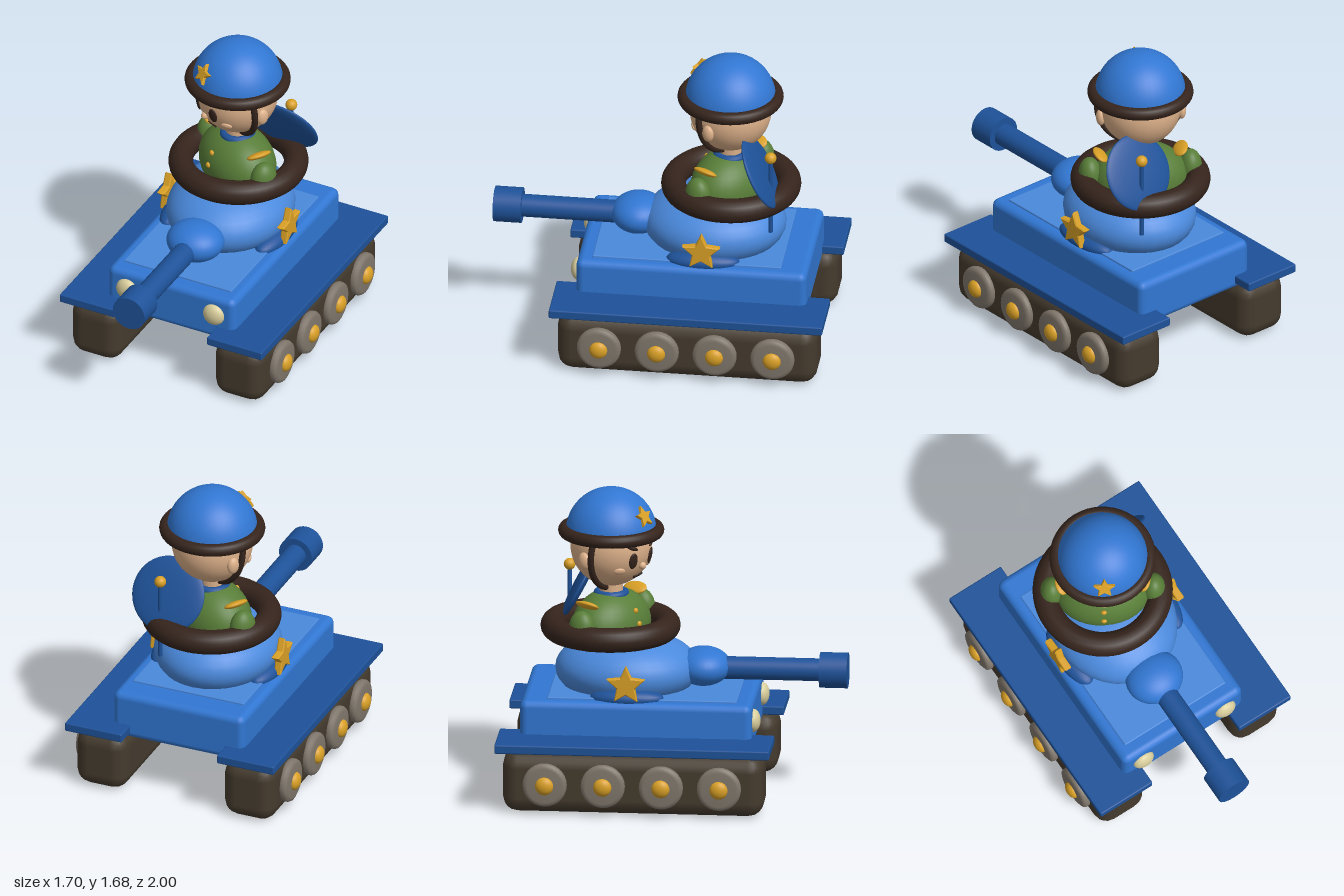
import * as THREE from 'three';
import { RoundedBoxGeometry } from 'three/addons/geometries/RoundedBoxGeometry.js';

const mat = (name, color) => {
  const m = new THREE.MeshStandardMaterial({ color });
  m.name = name;
  return m;
};

export function createModel() {
  const blue = mat('blue', 0x3177d3);
  const darkBlue = mat('dark blue', 0x1e5299);
  const lightBlue = mat('light blue', 0x4a89dc);
  const brown = mat('dark brown', 0x35241c);
  const trackBrown = mat('track brown', 0x453b2e);
  const grey = mat('wheel grey', 0x80776c);
  const gold = mat('gold', 0xd9a026);
  const green = mat('green', 0x587d38);
  const skin = mat('skin', 0xdcb089);
  const cream = mat('cream', 0xd8cd9c);

  const add = (parent, name, geometry, material, x = 0, y = 0, z = 0) => {
    const mesh = new THREE.Mesh(geometry, material);
    mesh.name = name;
    mesh.position.set(x, y, z);
    parent.add(mesh);
    return mesh;
  };
  const ellipsoid = (rx, ry, rz) => new THREE.SphereGeometry(1, 32, 20).scale(rx, ry, rz);
  const box = (w, h, d, r) => new RoundedBoxGeometry(w, h, d, 2, r);
  const starGeometry = (r, depth) => {
    const shape = new THREE.Shape();
    for (let i = 0; i < 10; i++) {
      const a = Math.PI / 2 + i * Math.PI / 5, q = i % 2 ? r * 0.45 : r;
      shape[i ? 'lineTo' : 'moveTo'](q * Math.cos(a), q * Math.sin(a));
    }
    const g = new THREE.ExtrudeGeometry(shape, {
      depth, bevelEnabled: true, bevelSize: r * 0.06, bevelThickness: r * 0.06, bevelSegments: 1,
    });
    return g.translate(0, 0, -depth / 2);
  };

  const model = new THREE.Group();
  model.name = 'toy tank with soldier';

  // Tank, turned on the spot
  const tank = new THREE.Group();
  tank.name = 'tank';
  tank.position.z = -0.077;
  tank.rotation.y = 0.384;
  model.add(tank);

  add(tank, 'hull', box(0.775, 0.27, 1.26, 0.04), blue, 0, 0.45, 0);
  add(tank, 'deckPanel', box(0.655, 0.03, 1.03, 0.006), lightBlue, 0, 0.58, 0.03);

  const wheelProfile = [[0, -0.03], [0.1, -0.03], [0.114, -0.022], [0.12, -0.008], [0.12, 0.008],
    [0.114, 0.02], [0.095, 0.028], [0, 0.03]].map(([x, y]) => new THREE.Vector2(x, y));
  const wheelGeometry = new THREE.LatheGeometry(wheelProfile, 28);

  for (const s of [1, -1]) {
    const side = s > 0 ? 'left' : 'right';
    add(tank, side + 'Fender', box(0.336, 0.05, 1.494, 0.008), darkBlue, s * 0.449, 0.374, 0);
    add(tank, side + 'Track', box(0.3, 0.338, 1.42, 0.085), trackBrown, s * 0.436, 0.174, 0);
    for (let i = 0; i < 4; i++) {
      const z = (i - 1.5) * 0.316;
      add(tank, side + 'Wheel', wheelGeometry, grey, s * 0.598, 0.177, z).rotation.z = -s * Math.PI / 2;
      add(tank, side + 'WheelHub', ellipsoid(0.032, 0.05, 0.05), gold, s * 0.624, 0.177, z);
    }
    add(tank, side + 'Headlight', ellipsoid(0.063, 0.063, 0.04), cream, s * 0.265, 0.475, 0.63);
    // Turret side mount and star
    add(tank, side + 'TurretMount', ellipsoid(0.08, 0.055, 0.2), darkBlue, s * 0.29, 0.592, -0.054);
    add(tank, side + 'TurretStar', starGeometry(0.1, 0.03), gold, s * 0.366, 0.682, -0.054)
      .rotation.y = s * Math.PI / 2;
  }

  // Turret and gun
  add(tank, 'turret', ellipsoid(0.34, 0.2, 0.39), lightBlue, 0, 0.685, -0.08);
  add(tank, 'gunMantlet', ellipsoid(0.16, 0.105, 0.15), blue, 0, 0.7, 0.335);
  const alongZ = (r, len) => new THREE.CylinderGeometry(r, r, len, 32).rotateX(Math.PI / 2);
  add(tank, 'gunBarrel', alongZ(0.062, 0.65), darkBlue, 0, 0.693, 0.7);
  add(tank, 'gunMuzzle', alongZ(0.097, 0.152), darkBlue, 0, 0.693, 1.046);
  add(tank, 'hatchRing', new THREE.TorusGeometry(0.313, 0.067, 18, 56).rotateX(Math.PI / 2),
    brown, 0, 0.918, -0.17);

  // Hatch lid leaning forward, with the aerial behind it
  add(tank, 'hatchLid', ellipsoid(0.21, 0.21, 0.03), darkBlue, 0.175, 1.095, -0.353).rotation.x = 0.48;
  add(tank, 'aerial', new THREE.CylinderGeometry(0.012, 0.012, 0.45, 12), darkBlue, 0.198, 0.965, -0.411);
  add(tank, 'aerialTip', ellipsoid(0.032, 0.032, 0.032), gold, 0.198, 1.198, -0.411);

  // Soldier, turned slightly the other way
  const soldier = new THREE.Group();
  soldier.name = 'soldier';
  soldier.position.set(-0.065, 0, -0.23);
  soldier.rotation.y = -0.157;
  model.add(soldier);

  add(soldier, 'torso', ellipsoid(0.26, 0.2, 0.19), green, 0, 0.925, 0);
  add(soldier, 'collar', new THREE.TorusGeometry(0.075, 0.022, 12, 32).rotateX(Math.PI / 2), darkBlue, 0, 1.1, 0);
  add(soldier, 'neck', new THREE.CylinderGeometry(0.065, 0.065, 0.12, 24), skin, 0, 1.13, 0);
  for (const y of [1.025, 0.955]) {
    const z = 0.19 * Math.sqrt(1 - ((y - 0.925) / 0.2) ** 2);
    add(soldier, 'button', ellipsoid(0.016, 0.016, 0.012), gold, 0, y, z);
  }

  // Head
  const headY = 1.37, headR = 0.222;
  add(soldier, 'head', ellipsoid(headR, headR, headR), skin, 0, headY, 0);
  // Puts a feature on the face, turned to follow the head
  const onFace = (name, geometry, material, x, y, roll = 0) => {
    const dy = y - headY;
    const z = Math.sqrt(headR ** 2 - x * x - dy * dy);
    const mesh = add(soldier, name, geometry, material, x, y, z);
    mesh.rotation.set(-Math.asin(dy / headR), Math.atan2(x, z), roll, 'YXZ');
  };
  onFace('nose', ellipsoid(0.021, 0.021, 0.024), skin, 0, 1.288);
  onFace('mouth', new THREE.BoxGeometry(0.07, 0.014, 0.012), brown, 0.012, 1.225, 0.15);

  for (const s of [1, -1]) {
    const side = s > 0 ? 'left' : 'right';
    onFace(side + 'Eye', ellipsoid(0.027, 0.046, 0.01), brown, s * 0.076, 1.328);
    onFace(side + 'Eyebrow', ellipsoid(0.036, 0.012, 0.012), brown, s * 0.083, 1.402, s * 0.4);
    onFace(side + 'Cheek', ellipsoid(0.032, 0.022, 0.012), skin, s * 0.13, 1.272);
    add(soldier, side + 'Ear', ellipsoid(0.025, 0.048, 0.035), skin, s * 0.222, 1.325, -0.02);
    add(soldier, side + 'Arm', ellipsoid(0.062, 0.1, 0.075), green, s * 0.277, 0.96, 0.005);
    add(soldier, side + 'Epaulette', ellipsoid(0.045, 0.018, 0.072), gold, s * 0.22, 1.078, 0).rotation.z = s * 0.55;
  }

  // Helmet with rim, badge and chin strap
  add(soldier, 'helmet', new THREE.SphereGeometry(0.247, 40, 16, 0, Math.PI * 2, 0, Math.PI / 2),
    blue, 0, 1.443, 0).material.side = THREE.DoubleSide;
  add(soldier, 'helmetRim', new THREE.TorusGeometry(0.253, 0.035, 16, 48).rotateX(Math.PI / 2),
    brown, 0, 1.455, 0);
  const tilt = 0.5;
  add(soldier, 'helmetStar', starGeometry(0.057, 0.016), gold,
    0, 1.443 + 0.25 * Math.sin(tilt), 0.25 * Math.cos(tilt)).rotation.x = -tilt;
  const strap = add(soldier, 'chinStrap', new THREE.TorusGeometry(0.232, 0.018, 10, 40, Math.PI * 1.14)
    .rotateZ(-Math.PI * 1.07), brown, 0, headY, 0.035);
  strap.rotation.x = 0.12;

  return model;
}
